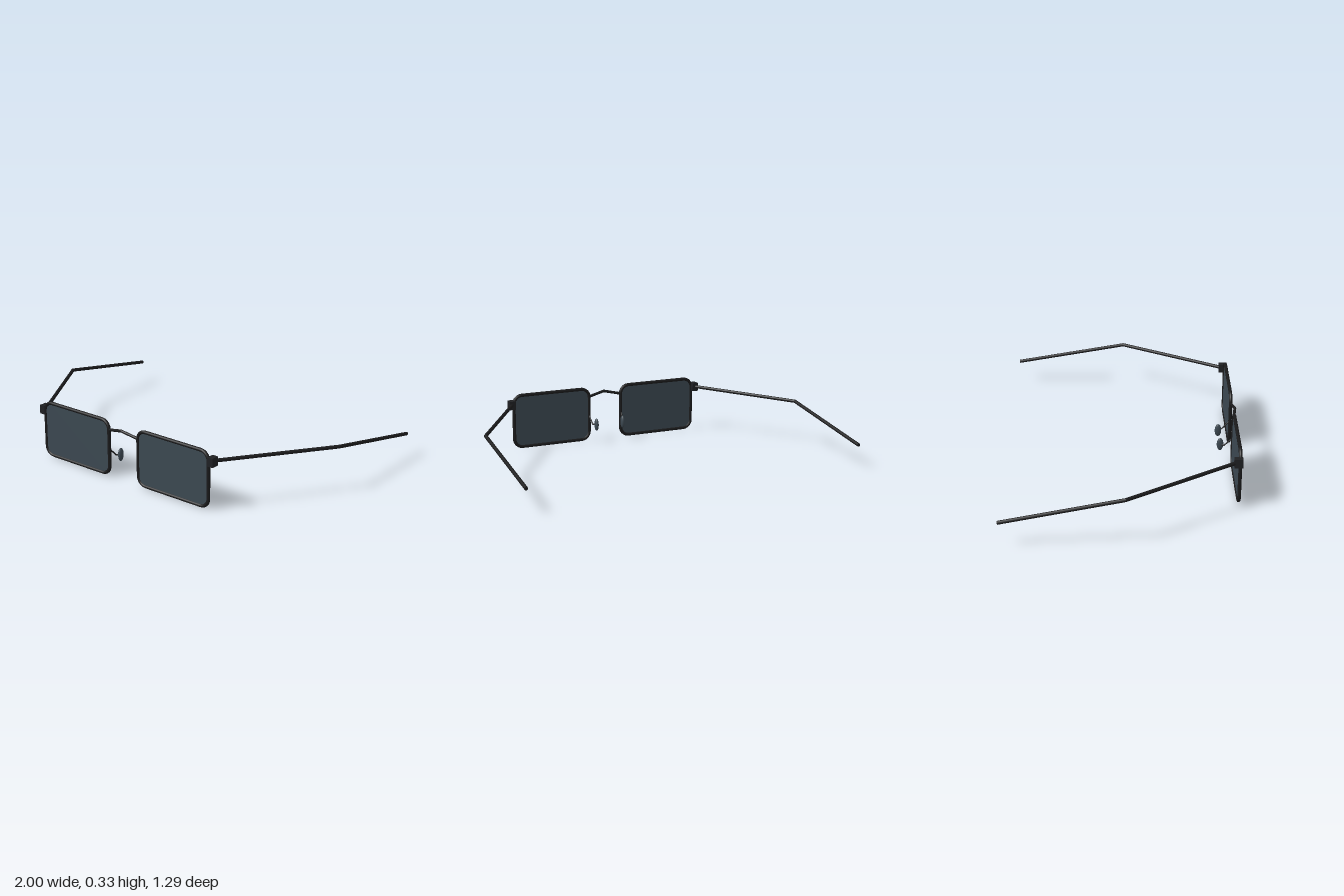
import * as THREE from 'three';

const frameBlack = new THREE.MeshStandardMaterial({ color: 0x1a1a1b });
frameBlack.name = 'frame black';
const hingeBlack = new THREE.MeshStandardMaterial({ color: 0x1f2023 });
hingeBlack.name = 'hinge black';
const smokeGlass = new THREE.MeshStandardMaterial({ color: 0x3c4851 });
smokeGlass.name = 'smoke glass';

const FRONT_Z = 0.619;
const V = (x, y, z) => new THREE.Vector3(x, y, z);

function add(parent, name, geometry, material) {
  const mesh = new THREE.Mesh(geometry, material);
  mesh.name = name;
  parent.add(mesh);
  return mesh;
}

// Round wire through points: straight rods with ball joints at the bends
function wire(parent, name, points, radius, material) {
  const group = new THREE.Group();
  group.name = name;
  for (let i = 0; i < points.length - 1; i++) {
    const dir = points[i + 1].clone().sub(points[i]);
    const rod = add(group, name + 'Rod', new THREE.CylinderGeometry(radius, radius, dir.length(), 12), material);
    rod.position.copy(points[i]).addScaledVector(dir, 0.5);
    rod.quaternion.setFromUnitVectors(V(0, 1, 0), dir.normalize());
    if (i > 0) add(group, name + 'Bend', new THREE.SphereGeometry(radius, 12, 8), material).position.copy(points[i]);
  }
  parent.add(group);
}

// Rounded rectangle centred on the origin
function lensOutline(w, h, r) {
  const s = new THREE.Shape();
  const x = w / 2, y = h / 2;
  s.moveTo(-x + r, -y);
  s.lineTo(x - r, -y);
  s.absarc(x - r, -y + r, r, -Math.PI / 2, 0);
  s.lineTo(x, y - r);
  s.absarc(x - r, y - r, r, 0, Math.PI / 2);
  s.lineTo(-x + r, y);
  s.absarc(-x + r, y - r, r, Math.PI / 2, Math.PI);
  s.lineTo(-x, -y + r);
  s.absarc(-x + r, -y + r, r, Math.PI, Math.PI * 1.5);
  return s;
}

// Closed path in space that follows the lens outline
class RimCurve extends THREE.Curve {
  constructor(outline) {
    super();
    this.outline = outline;
  }
  getPoint(t, target = new THREE.Vector3()) {
    const p = this.outline.getPointAt(t % 1);
    return target.set(p.x, p.y, 0);
  }
}

function createSide(s, label) {
  const side = new THREE.Group();
  side.name = label + 'Side';

  // Lens and its wire rim
  const outline = lensOutline(0.48, 0.31, 0.05);
  const rim = add(side, 'rim', new THREE.TubeGeometry(new RimCurve(outline), 120, 0.01, 10, true), frameBlack);
  rim.position.set(s * 0.345, 0.165, FRONT_Z);
  const glass = new THREE.ExtrudeGeometry(outline, { depth: 0.008, bevelEnabled: false, curveSegments: 8 });
  const lens = add(side, 'lens', glass, smokeGlass);
  lens.position.set(s * 0.345, 0.165, FRONT_Z - 0.004);

  // Hinge block and temple arm
  add(side, 'hinge', new THREE.BoxGeometry(0.036, 0.05, 0.046), hingeBlack)
    .position.set(s * 0.602, 0.27, 0.608);
  wire(side, 'temple', [V(s * 0.602, 0.271, 0.6), V(s * 0.972, 0.26, 0.01), V(s * 0.99, 0.14, -0.642)], 0.01, frameBlack);

  // Nose pad on its thin arm
  wire(side, 'padArm', [V(s * 0.106, 0.16, FRONT_Z), V(s * 0.103, 0.11, 0.57), V(s * 0.087, 0.11, 0.552)], 0.004, frameBlack);
  const pad = add(side, 'nosePad', new THREE.SphereGeometry(1, 20, 14), smokeGlass);
  pad.scale.set(0.012, 0.038, 0.019);
  pad.position.set(s * 0.086, 0.11, 0.55);
  return side;
}

export function createModel() {
  const model = new THREE.Group();
  model.name = 'sunglasses';
  model.add(createSide(1, 'left'), createSide(-1, 'right'));

  // Peaked bridge between the rims
  wire(model, 'bridge', [V(-0.106, 0.27, FRONT_Z), V(0, 0.293, 0.634), V(0.106, 0.27, FRONT_Z)], 0.008, frameBlack);
  return model;
}
